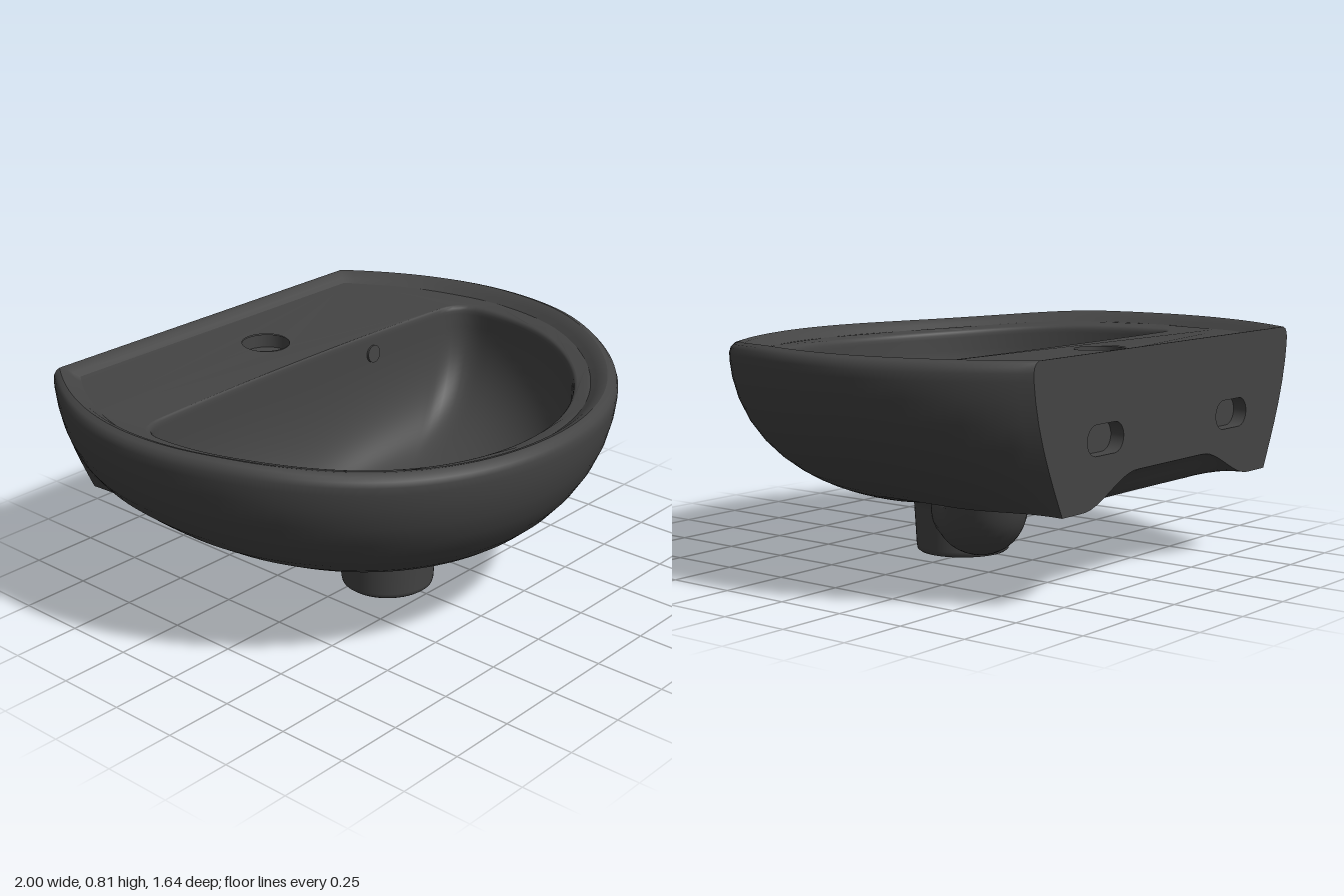
import * as THREE from 'three';

const V = (x, y, z) => new THREE.Vector3(x, y, z);
const { lerp, smoothstep } = THREE.MathUtils;
const BACK = -0.82, BASE = 0.285, TOP = 0.806, DRAIN_Z = 0.065;

// Smooth skin through rows of points
function loft(rows, closed = false) {
  const n = rows[0].length, idx = [];
  const cols = closed ? n : n - 1;
  for (let r = 0; r < rows.length - 1; r++) {
    for (let i = 0; i < cols; i++) {
      const j = (i + 1) % n;
      const a = r * n + i, b = r * n + j, c = a + n, d = b + n;
      idx.push(a, c, b, b, c, d);
    }
  }
  const g = new THREE.BufferGeometry().setFromPoints(rows.flat());
  g.setIndex(idx);
  g.computeVertexNormals();
  return g;
}

// Rules of the outer form
const radius = y => Math.max(0, 1 - (Math.max(0, 0.8 - y) / 0.6) ** 2.2) ** (1 / 2.2);
const centre = y => -0.18 + 0.35 * (1 - radius(y));
const backHalf = y => 0.61 + 0.15 * Math.sin((Math.PI / 2) * (y - BASE) / (TOP - BASE));
const drop = z => 0.038 * smoothstep(z, 0.1, 0.8);
const arch = x => 0.1 * (1 - smoothstep(Math.abs(x), 0.2, 0.5));
const baseRise = z => 0.025 * smoothstep(-z, 0.35, 0.82);

// The deck sinks inside the rim and a little more towards the bowl
function deckY(x, z) {
  const edge = Math.min(0.96 - Math.hypot(x, z + 0.18), z - BACK);
  return TOP - drop(z) - 0.036 * smoothstep(edge, 0, 0.075) - 0.012 * smoothstep(z, -0.6, -0.3) * smoothstep(edge, 0, 0.1);
}

function halfWidth(y, z) {
  const a = radius(y), c = centre(y);
  return lerp(a, backHalf(y), ((c - z) / (c - BACK)) ** 2);
}

// One level of the outer wall, from the back corner round the front to the other
function wallRow(y, s) {
  const a = radius(y), c = centre(y), row = [], side = [];
  const up = (y - BASE) / (TOP - BASE);
  for (let i = 0; i < 16; i++) {
    const z = lerp(BACK, c, i / 16);
    side.push([halfWidth(y, z), z]);
  }
  const add = (x, z) => row.push(V(x * s, y - drop(z) * up + baseRise(z) * (1 - up),
    z < -0.18 ? z : -0.18 + (z + 0.18) * s));
  side.forEach(([x, z]) => add(x, z));
  for (let i = 0; i <= 64; i++) {
    const p = Math.PI * i / 64;
    add(a * Math.cos(p), c + a * Math.sin(p));
  }
  side.reverse().forEach(([x, z]) => add(-x, z));
  return row;
}

// Stadium outline for the wall fixing slots
function slotPath(cx, cy, w, h) {
  const p = new THREE.Path(), r = h / 2, d = w / 2 - r;
  p.absarc(cx + d, cy, r, -Math.PI / 2, Math.PI / 2);
  p.absarc(cx - d, cy, r, Math.PI / 2, Math.PI * 1.5);
  p.closePath();
  return p;
}

export function createModel() {
  const group = new THREE.Group();
  const ceramic = new THREE.MeshStandardMaterial({ color: 0x444444, side: THREE.DoubleSide });
  ceramic.name = 'dark ceramic';
  const add = (name, geometry) => {
    const m = new THREE.Mesh(geometry, ceramic);
    m.name = name;
    group.add(m);
    return m;
  };

  // Outer wall with a rounded top edge
  const levels = [[BASE, 1], [0.31, 1], [0.34, 1], [0.39, 1], [0.45, 1], [0.52, 1], [0.6, 1], [0.68, 1],
    [0.74, 1], [0.767, 0.999], [0.786, 0.993], [0.799, 0.981], [TOP, 0.96]];
  const wall = levels.map(([y, s]) => wallRow(y, s));
  add('outerWall', loft(wall));

  // Rim strip, sloping down to the deck
  const top = wall[wall.length - 1];
  const rim = [1 / 3, 2 / 3, 1].map(f => top.map(p => {
    const z = -0.18 + (p.z + 0.18) * (1 - f * (p.z < -0.18 ? 0.09 : 0.06));
    const x = p.x * (1 - 0.06 * f);
    return V(x, deckY(x, z), z);
  }));
  add('rim', loft([top, ...rim], true));
  const inset = rim[2];

  // D-shaped bowl opening
  const opening = new THREE.Path();
  opening.absellipse(0, -0.18, 0.835, 0.845, 0, Math.PI);
  opening.quadraticCurveTo(-0.835, -0.3, -0.7, -0.3);
  opening.quadraticCurveTo(0, -0.34, 0.7, -0.3);
  opening.quadraticCurveTo(0.835, -0.3, 0.835, -0.18);
  const dPoints = opening.getSpacedPoints(144).slice(0, -1);
  const bowlRow = (w, yAt) => dPoints.map(p => {
    const t = Math.atan2(p.y - DRAIN_Z, p.x);
    const x = lerp(p.x, 0.185 * Math.cos(t), w);
    const z = lerp(p.y, DRAIN_Z + 0.185 * Math.sin(t), w);
    return V(x, yAt(x, z), z);
  });

  // Bowl: soft lip, then a rounded fall to the drain
  const bowl = [[-0.03, 0], [-0.018, 0.002], [-0.007, 0.008], [-0.002, 0.018]]
    .map(([w, d]) => bowlRow(w, (x, z) => deckY(x, z) - d));
  for (let i = 0; i <= 24; i++) {
    const q = (Math.PI / 2) * i / 24;
    const w = 1 - Math.max(0, Math.cos(q)) ** 0.8, s = Math.sin(q) ** 0.8;
    bowl.push(bowlRow(w, (x, z) => lerp(deckY(x, z) - 0.03, 0.27, s)));
  }
  add('bowl', loft(bowl, true));

  // Deck with bowl opening and tap hole
  const deck = new THREE.Shape(inset.map(p => new THREE.Vector2(p.x, p.z)));
  deck.holes.push(new THREE.Path(bowl[0].map(p => new THREE.Vector2(p.x, p.z))));
  const tap = new THREE.Path();
  tap.absarc(0, -0.53, 0.088, 0, Math.PI * 2);
  deck.holes.push(tap);
  const deckGeo = new THREE.ShapeGeometry(deck, 20);
  const dp = deckGeo.attributes.position;
  for (let i = 0; i < dp.count; i++) {
    const x = dp.getX(i), z = dp.getY(i);
    dp.setXYZ(i, x, deckY(x, z), z);
  }
  deckGeo.computeVertexNormals();
  add('deck', deckGeo);
  add('tapHoleWall', new THREE.CylinderGeometry(0.088, 0.088, 0.05, 40, 1, true)).position.set(0, 0.742, -0.53);
  add('tapHoleFloor', new THREE.CircleGeometry(0.088, 40).rotateX(-Math.PI / 2)).position.set(0, 0.718, -0.53);

  // Overflow mouth on the rear bowl wall
  add('overflowMouth', new THREE.CylinderGeometry(0.033, 0.033, 0.009, 24).rotateX(Math.PI / 2 - 0.08))
    .position.set(0.35, 0.68, -0.311);

  // Back panel with arched lower edge and two fixing slots
  const outline = [];
  for (let i = 0; i <= 40; i++) {
    const x = lerp(-0.61, 0.61, i / 40);
    outline.push(new THREE.Vector2(x, BASE + baseRise(BACK) + arch(x)));
  }
  wall.slice(1).forEach(r => outline.push(new THREE.Vector2(r[0].x, r[0].y)));
  wall.slice(1).reverse().forEach(r => outline.push(new THREE.Vector2(-r[0].x, r[0].y)));
  const panel = new THREE.Shape(outline);
  for (const side of [-1, 1]) {
    const slot = slotPath(side * 0.38, 0.53, 0.2, 0.1);
    panel.holes.push(slot);
    const pts = slot.getPoints(12);
    add('slotWall', loft([BACK, BACK + 0.05].map(z => pts.map(p => V(p.x, p.y, z)))));
    add('slotFloor', new THREE.ShapeGeometry(new THREE.Shape(pts)).rotateY(Math.PI))
      .position.set(side * 0.76, 0, BACK + 0.05);
  }
  const panelGeo = new THREE.ShapeGeometry(panel, 12);
  panelGeo.index.array.reverse();
  panelGeo.computeVertexNormals();
  add('backPanel', panelGeo.translate(0, 0, BACK));

  // Underside behind the belly, arching up close to the back
  const c0 = centre(BASE), under = [];
  for (let j = 0; j <= 24; j++) {
    const row = [];
    for (let i = 0; i <= 48; i++) {
      const s = -Math.cos(Math.PI * i / 48);
      const front = c0 - (c0 + 0.3) * Math.sqrt(Math.max(0, 1 - s * s));
      const z = lerp(front, BACK, j / 24), x = s * halfWidth(BASE, z);
      row.push(V(x, BASE + baseRise(z) + arch(x) * smoothstep(-z, 0.7, 0.82), z));
    }
    under.push(row);
  }
  add('underside', loft(under));

  // Belly under the bowl, closing onto the drain neck
  const belly = [BASE, 0.275, 0.265, 0.252, 0.24, 0.228, 0.218, 0.211].map(y => {
    const a = radius(y), c = centre(y), back = lerp(-0.13, -0.3, (y - 0.211) / (BASE - 0.211));
    return Array.from({ length: 96 }, (_, i) => {
      const p = 2 * Math.PI * i / 96, s = Math.sin(p);
      return V(a * Math.cos(p), y, c + s * (s > 0 ? a : c - back));
    });
  });
  belly.push(Array.from({ length: 96 }, (_, i) => {
    const p = 2 * Math.PI * i / 96;
    return V(0.18 * Math.cos(p), 0.195, DRAIN_Z + 0.18 * Math.sin(p));
  }));
  add('belly', loft(belly, true));

  // Drain neck, open through the middle
  const drain = [[0.2, 0.21], [0.183, 0.195], [0.177, 0.17], [0.168, 0.02], [0.165, 0.006], [0.157, 0],
    [0.118, 0], [0.115, 0.01], [0.115, 0.225], [0.122, 0.236], [0.185, 0.27]]
    .map(([r, y]) => new THREE.Vector2(r, y));
  add('drainNeck', new THREE.LatheGeometry(drain, 64)).position.z = DRAIN_Z;

  // Broad overflow duct from the neck, its top flattened under the belly
  const duct = new THREE.CatmullRomCurve3([V(0.078, 0.175, -0.033), V(0.16, 0.175, -0.13),
    V(0.24, 0.215, -0.23), V(0.268, 0.31, -0.262)]);
  const ductGeo = new THREE.TubeGeometry(duct, 32, 0.142, 36);
  const tp = ductGeo.attributes.position;
  for (let i = 0; i < tp.count; i++) {
    tp.setY(i, Math.min(tp.getY(i), 0.225 + 0.12 * smoothstep(-tp.getZ(i), 0.1, 0.34)));
  }
  ductGeo.computeVertexNormals();
  add('overflowDuct', ductGeo);

  return group;
}
